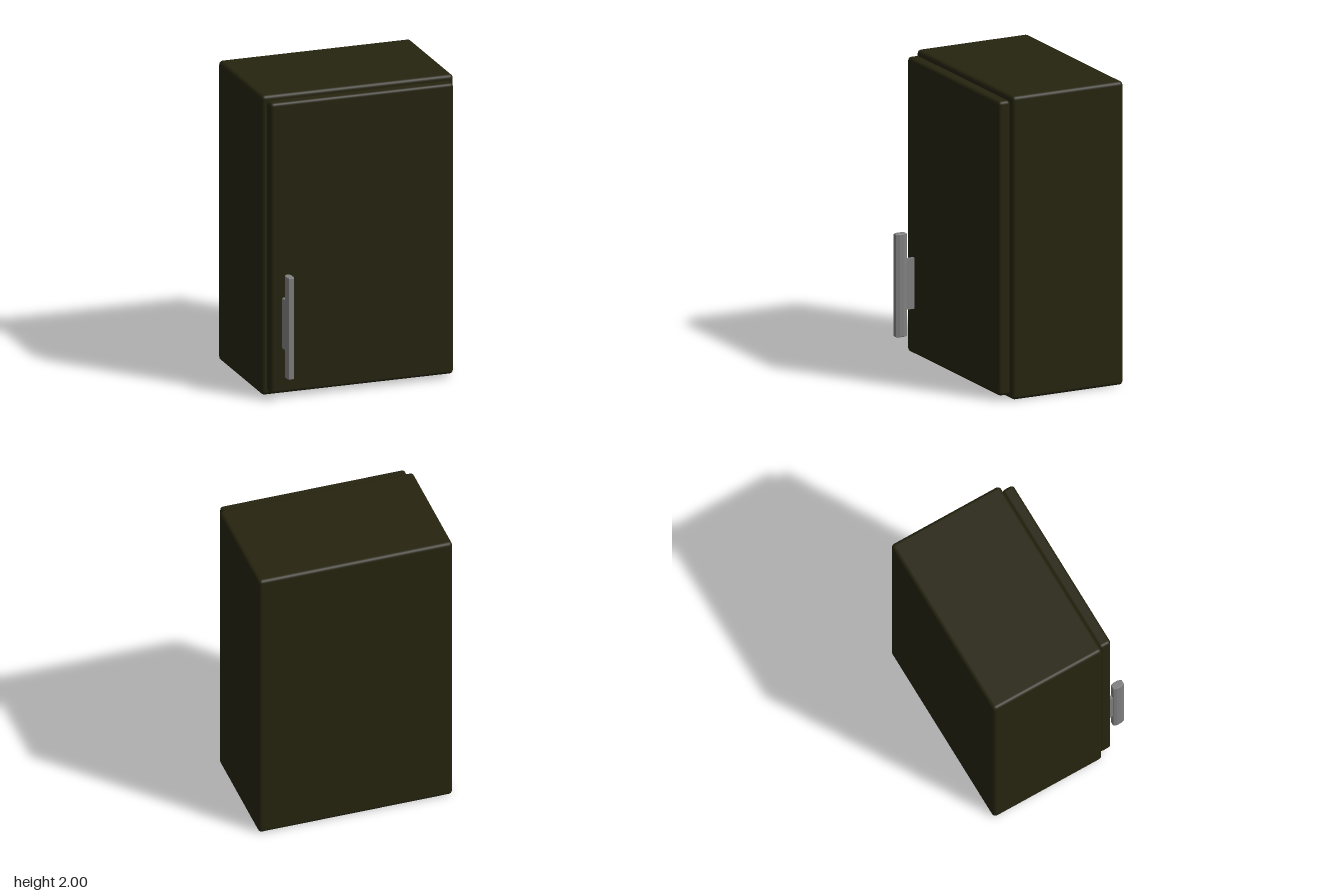
import * as THREE from 'three';
import { RoundedBoxGeometry } from 'three/addons/geometries/RoundedBoxGeometry.js';

function material(name, color) {
  const m = new THREE.MeshStandardMaterial({ color });
  m.name = name;
  return m;
}

export function createModel() {
  const group = new THREE.Group();
  group.name = 'wallCabinet';
  const wood = material('dark olive wood', 0x26240f);
  const metal = material('grey metal', 0x808080);

  const add = (name, geometry, mat, x, y, z) => {
    const mesh = new THREE.Mesh(geometry, mat);
    mesh.name = name;
    mesh.position.set(x, y, z);
    group.add(mesh);
  };

  // Cabinet body and door, both with softened edges
  add('body', new RoundedBoxGeometry(1.3, 2, 0.8, 3, 0.025), wood, 0, 1, -0.11);
  add('door', new RoundedBoxGeometry(1.24, 1.94, 0.084, 3, 0.022), wood, 0, 1, 0.331);

  // Handle grip: upright bar with chamfered corners, tapering towards front and back
  const bevel = 0.004;
  const w = 0.024 - bevel, d = 0.039 - bevel, cx = 0.007, cz = 0.02;
  const outline = new THREE.Shape([
    [w, -d + cz], [w, d - cz], [w - cx, d], [-w + cx, d],
    [-w, d - cz], [-w, -d + cz], [-w + cx, -d], [w - cx, -d],
  ].map(([x, y]) => new THREE.Vector2(x, y)));
  const grip = new THREE.ExtrudeGeometry(outline, {
    depth: 0.68 - 2 * bevel, bevelSize: bevel, bevelThickness: bevel, bevelSegments: 1,
  });
  grip.translate(0, 0, -0.34 + bevel).rotateX(-Math.PI / 2);
  add('handleGrip', grip, metal, -0.53, 0.5, 0.47);

  // Handle mount joining grip and door
  add('handleMount', new THREE.BoxGeometry(0.024, 0.335, 0.08), metal, -0.53, 0.5, 0.4);

  return group;
}
